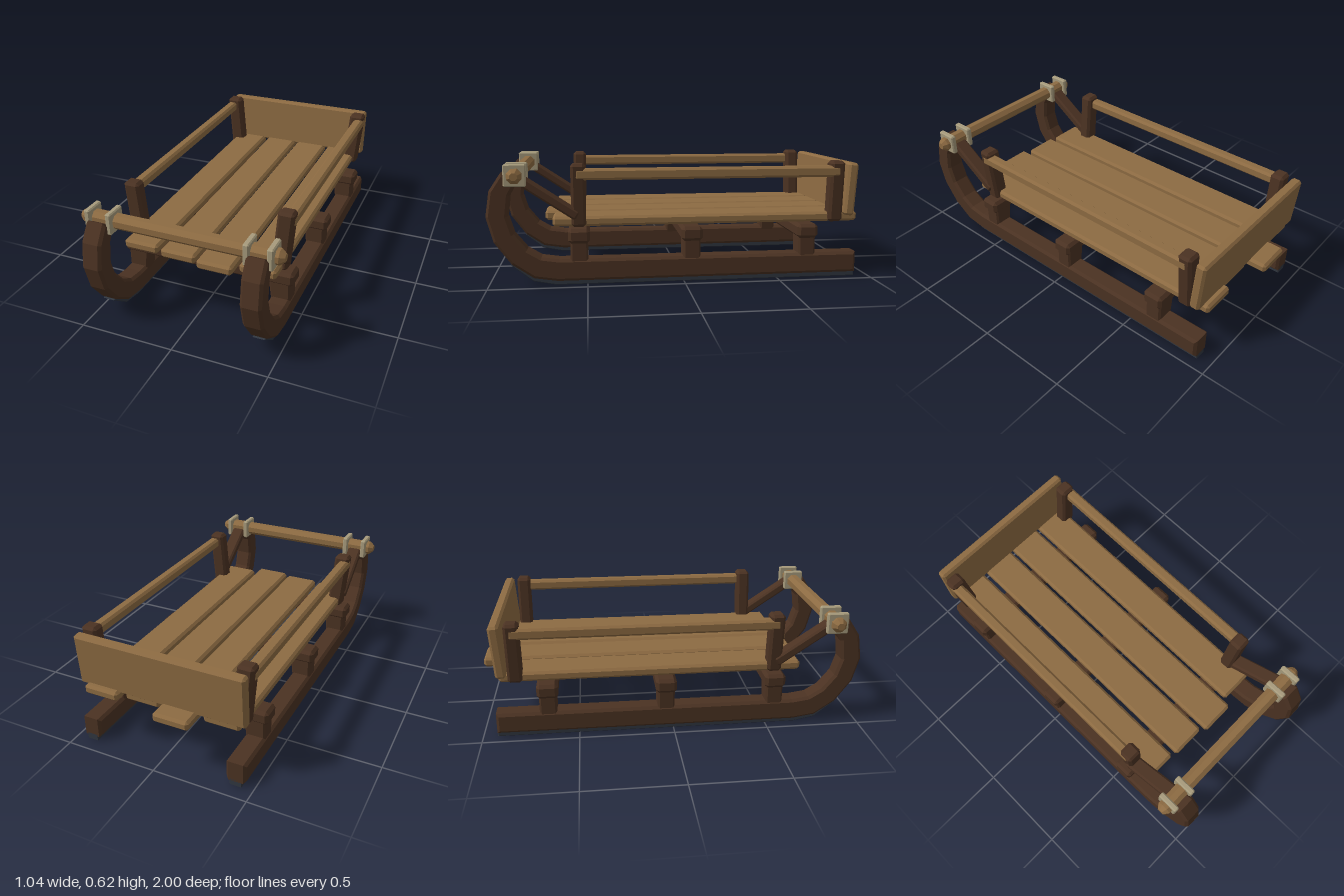
import * as THREE from 'three';
import { ConvexGeometry } from 'three/addons/geometries/ConvexGeometry.js';

function makeMaterial(name, color) {
  const m = new THREE.MeshStandardMaterial({ color });
  m.name = name;
  return m;
}

// Box with chamfered edges; the optional warp moves each corner point
function chamferBox(w, h, d, c, warp) {
  const pts = [];
  for (const sx of [-1, 1]) for (const sy of [-1, 1]) for (const sz of [-1, 1]) {
    const x = w / 2, y = h / 2, z = d / 2;
    for (const [a, b, e] of [[0, c, c], [c, 0, c], [c, c, 0]]) {
      const p = new THREE.Vector3(sx * (x - a), sy * (y - b), sz * (z - e));
      if (warp) warp(p);
      pts.push(p);
    }
  }
  return new ConvexGeometry(pts);
}

// Side profile given as [z, y], extruded to a width along x with a chamfer
function sideExtrude(points, width, bevel) {
  const shape = new THREE.Shape(points.map(([z, y]) => new THREE.Vector2(-z, y)));
  const g = new THREE.ExtrudeGeometry(shape, {
    depth: width - 2 * bevel, bevelEnabled: true, bevelSegments: 1,
    bevelSize: bevel, bevelThickness: bevel, bevelOffset: -bevel,
  });
  g.translate(0, 0, -(width - 2 * bevel) / 2);
  g.rotateY(Math.PI / 2);
  return g;
}

export function createModel() {
  const model = new THREE.Group();
  model.name = 'sled';
  const darkWood = makeMaterial('dark wood', 0x4b3222);
  const lightWood = makeMaterial('light wood', 0x8d6b42);
  const iron = makeMaterial('iron', 0x30363f);
  const binding = makeMaterial('pale binding', 0xa79b7c);

  function add(name, geometry, material, x = 0, y = 0, z = 0) {
    const mesh = new THREE.Mesh(geometry, material);
    mesh.name = name;
    mesh.position.set(x, y, z);
    model.add(mesh);
    return mesh;
  }

  const runnerProfile = [
    [-0.925, 0.025], [0.65, 0.022], [0.77, 0.04], [0.88, 0.115], [0.965, 0.23],
    [1.0, 0.36], [0.98, 0.49], [0.92, 0.58], [0.84, 0.535], [0.88, 0.465],
    [0.893, 0.36], [0.865, 0.27], [0.8, 0.19], [0.73, 0.148], [0.64, 0.135], [-0.925, 0.135],
  ];
  const stripProfile = [
    [-0.925, 0], [0.66, 0], [0.775, 0.022], [0.885, 0.108],
    [0.86, 0.13], [0.765, 0.05], [0.65, 0.035], [-0.925, 0.035],
  ];
  const crossZ = [0.54, -0.04, -0.655];

  for (const s of [1, -1]) {
    const side = s > 0 ? 'left' : 'right';
    // Runner with its iron shoe
    add(side + 'Runner', sideExtrude(runnerProfile, 0.106, 0.014), darkWood, s * 0.409);
    add(side + 'RunnerShoe', sideExtrude(stripProfile, 0.065, 0.004), iron, s * 0.409);

    // Legs, wider at the top on the inner side
    for (const z of crossZ) {
      add(side + 'Leg', chamferBox(0.1, 0.16, 0.09, 0.01, (p) => {
        if (p.x * s < 0) p.x -= s * (p.y + 0.08) * 0.12;
      }), darkWood, s * 0.408, 0.175, z);
    }

    // Posts leaning slightly outward
    for (const z of [0.54, -0.815]) {
      add(side + 'Post', chamferBox(0.085, 0.325, 0.075, 0.014, (p) => {
        p.x += s * p.y * 0.09;
      }), darkWood, s * 0.407, 0.458, z);
    }

    // Hand rail
    add(side + 'Rail', chamferBox(0.058, 0.058, 1.39, 0.012), lightWood, s * 0.433, 0.567, -0.137);

    // Diagonal brace from the front post to the runner tip
    const brace = add(side + 'Brace', chamferBox(0.08, 0.05, 0.37, 0.01), darkWood, s * 0.409, 0.455, 0.7);
    brace.rotation.x = -Math.atan2(0.2, 0.3);

    // Square bindings around the front bar
    for (const x of [0.465, 0.35]) {
      add(side + 'Binding', chamferBox(0.03, 0.112, 0.112, 0.006), binding, s * x, 0.568, 0.85);
    }
  }

  // Cross beams
  for (const z of crossZ) {
    add('crossBeam', chamferBox(0.95, 0.075, 0.11, 0.016), darkWood, 0, 0.254, z);
  }

  // Deck slats of uneven length: centre x, back z, front z
  for (const [x, back, front] of [
    [-0.324, -0.9, 0.682], [-0.108, -1.0, 0.695], [0.104, -0.9, 0.722], [0.316, -0.942, 0.674],
  ]) {
    add('deckSlat', chamferBox(0.192, 0.052, front - back, 0.013), lightWood, x, 0.321, (back + front) / 2);
  }

  // Back board, leaning backward
  const board = add('backBoard', chamferBox(0.91, 0.28, 0.054, 0.012), lightWood, 0, 0.47, -0.893);
  board.rotation.x = -0.07;

  // Eight-sided front bar with tapered ends
  const barProfile = [[0, -0.522], [0.02, -0.522], [0.04, -0.497], [0.04, 0.497], [0.02, 0.522], [0, 0.522]]
    .map(([r, y]) => new THREE.Vector2(r, y));
  const bar = new THREE.LatheGeometry(barProfile, 8, Math.PI / 8).toNonIndexed();
  bar.computeVertexNormals();
  bar.rotateZ(Math.PI / 2);
  add('frontBar', bar, lightWood, 0, 0.566, 0.85);

  return model;
}
